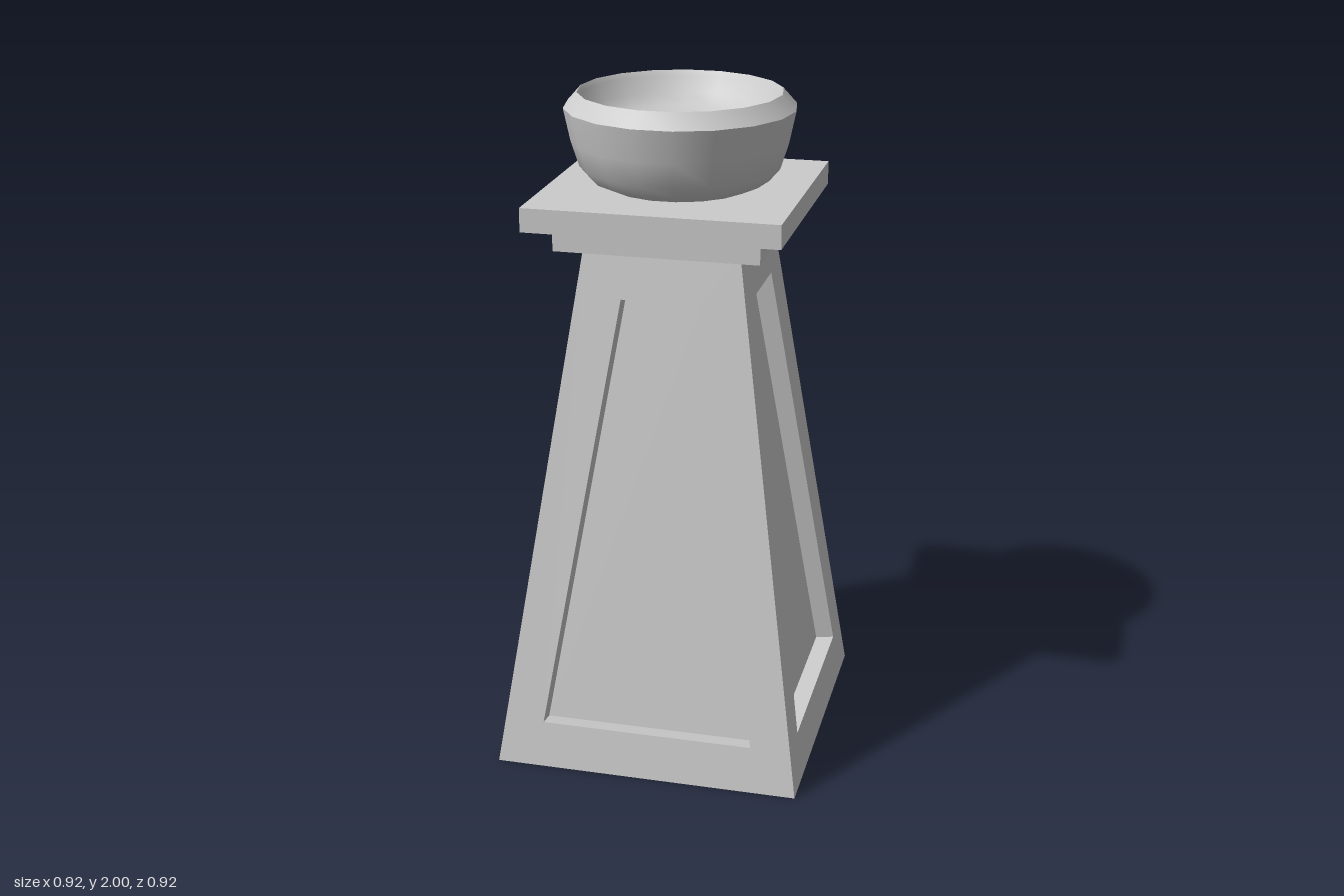
import * as THREE from 'three';
import { toCreasedNormals } from 'three/addons/utils/BufferGeometryUtils.js';

const H = 1.59, BASE = 0.46, TOP = 0.229, DEPTH = 0.057;

// One tapered side: frame around a recessed trapezoid panel, facing +z
function sideGeometry() {
  const slope = (BASE - TOP) / H;
  const normal = new THREE.Vector3(0, slope, 1).normalize();
  const ring = (y0, w0, y1, w1) => [[-w0, y0], [w0, y0], [w1, y1], [-w1, y1]]
    .map(([x, y]) => new THREE.Vector3(x, y, BASE - slope * y));
  const outer = ring(0, BASE, H, TOP);
  const rim = ring(0.14, 0.32, 1.44, 0.115);
  const floor = rim.map((p) => p.clone().addScaledVector(normal, -DEPTH));
  const points = [];
  const quad = (a, b, c, d) => points.push(a, b, c, a, c, d);
  for (const [a, b] of [[outer, rim], [rim, floor]]) {
    for (let i = 0; i < 4; i++) {
      const j = (i + 1) % 4;
      quad(a[i], a[j], b[j], b[i]);
    }
  }
  quad(...floor);
  const geometry = new THREE.BufferGeometry().setFromPoints(points);
  geometry.computeVertexNormals();
  return geometry;
}

export function createModel() {
  const model = new THREE.Group();
  model.name = 'pedestalWithBowl';
  const material = new THREE.MeshStandardMaterial({ color: 0xcccccc });
  const add = (name, geometry, parent = model) => {
    const mesh = new THREE.Mesh(geometry, material);
    mesh.name = name;
    parent.add(mesh);
    return mesh;
  };

  // Tapered column with four panelled sides and an underside
  const column = new THREE.Group();
  column.name = 'column';
  model.add(column);
  const side = sideGeometry();
  for (let i = 0; i < 4; i++) {
    add('panelledSide', side, column).rotation.y = i * Math.PI / 2;
  }
  add('underside', new THREE.PlaneGeometry(BASE * 2, BASE * 2), column).rotation.x = Math.PI / 2;

  // Two stepped square slabs
  const slab = (name, half, y0, y1) => {
    add(name, new THREE.BoxGeometry(half * 2, y1 - y0, half * 2)).position.y = (y0 + y1) / 2;
  };
  slab('lowerSlab', 0.3, 1.585, 1.655);
  slab('upperSlab', 0.372, 1.655, 1.725);

  // Eighteen-sided bowl with bevelled rim and flat inner floor
  const profile = [
    [0.2, 1.72], [0.262, 1.748], [0.294, 1.785], [0.318, 1.86], [0.338, 1.955],
    [0.298, 2], [0.288, 1.985], [0.265, 1.94], [0.23, 1.908], [0.178, 1.89], [0, 1.89],
  ].map(([r, y]) => new THREE.Vector2(r, y));
  const bowl = new THREE.LatheGeometry(profile, 18);
  bowl.rotateY(Math.PI / 18);
  add('bowl', toCreasedNormals(bowl, 0.65));

  return model;
}
